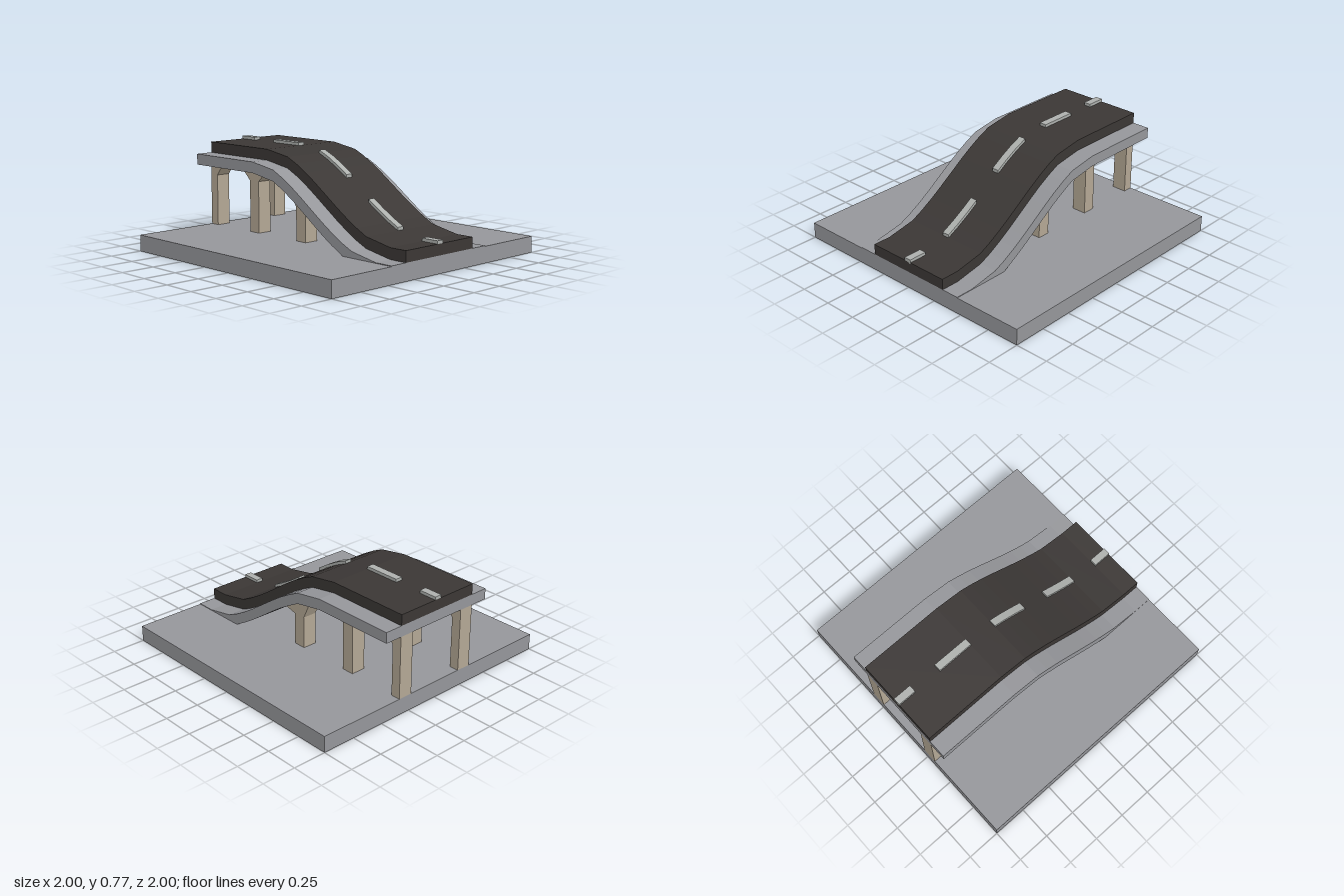
import * as THREE from 'three';

const material = (color) => new THREE.MeshStandardMaterial({ color, flatShading: true });

// Road surface line, from the high end to the ground-level end
const line = [
  [-1, 0.745], [-0.36, 0.745], [-0.14, 0.71], [-0.05, 0.67], [0.05, 0.615], [0.14, 0.558],
  [0.25, 0.483], [0.36, 0.408], [0.45, 0.35], [0.55, 0.292], [0.64, 0.247], [0.86, 0.205], [1, 0.205],
];

// Height of the line at x, lowered by d (a little more on the slope)
function heightAt(x, d = 0) {
  const lowered = line.map(([px, py], i) => {
    const a = line[Math.max(i - 1, 0)], b = line[Math.min(i + 1, line.length - 1)];
    const slope = (b[1] - a[1]) / (b[0] - a[0]);
    return [px, py - d * (1 + Math.hypot(1, slope)) / 2];
  });
  const i = Math.max(1, lowered.findIndex((p) => p[0] >= x));
  const [p, q] = [lowered[i - 1], lowered[i]];
  return p[1] + (q[1] - p[1]) * (x - p[0]) / (q[0] - p[0]);
}

// Side profile extruded across z
function extrude(name, points, width, z, mat) {
  const shape = new THREE.Shape(points.map(([x, y]) => new THREE.Vector2(x, y)));
  const geometry = new THREE.ExtrudeGeometry(shape, { depth: width, bevelEnabled: false });
  geometry.translate(0, 0, z - width / 2);
  const mesh = new THREE.Mesh(geometry, mat);
  mesh.name = name;
  return mesh;
}

// Band following the line between x0 and x1, from depth dTop to depth dBottom
function band(name, x0, x1, dTop, dBottom, width, mat) {
  const xs = [x0, ...line.map((p) => p[0]).filter((x) => x > x0 && x < x1), x1];
  const top = xs.map((x) => [x, heightAt(x, dTop)]);
  const bottom = xs.map((x) => [x, heightAt(x, dBottom)]);
  return extrude(name, [...bottom, ...top.reverse()], width, 0, mat);
}

export function createModel() {
  const model = new THREE.Group();
  model.name = 'roadRamp';
  const concrete = material(0x95969a);
  const asphalt = material(0x3b3735);
  const paint = material(0xadb0ad);
  const stone = material(0xb3a794);

  // Ground slab
  const base = new THREE.Mesh(new THREE.BoxGeometry(2, 0.12, 2), concrete);
  base.name = 'base';
  base.position.y = 0.06;
  model.add(base);

  // Deck and road surface
  model.add(band('deck', -1, 1, 0.08, 0.16, 0.94, concrete));
  model.add(band('road', -1, 1, 0, 0.08, 0.67, asphalt));

  // Raised centre line dashes
  for (const [x0, x1] of [[-1, -0.86], [-0.64, -0.36], [-0.14, 0.14], [0.36, 0.64], [0.86, 1]]) {
    model.add(band('laneDash', x0, x1, -0.022, 0.01, 0.055, paint));
  }

  // Pairs of piers with flared heads; the first is cut at the model edge
  const piers = [
    { x: -1, neck: 0.5, cut: true },
    { x: -0.5, neck: 0.5 },
    { x: 0, neck: 0.36 },
  ];
  const half = 0.048, flare = 0.14;
  for (const { x, neck, cut } of piers) {
    const at = (px) => [px, heightAt(px, 0.16)];
    const right = [[x + (cut ? 0.073 : half), 0.11], [x + (cut ? 0.073 : half), neck], at(x + flare)];
    const left = cut
      ? [at(-1), [-1, 0.11]]
      : [...line.map((p) => p[0]).filter((v) => Math.abs(v - x) < flare - 0.001).reverse().map(at),
        at(x - flare), [x - half, neck], [x - half, 0.11]];
    for (const side of [1, -1]) {
      model.add(extrude('pier', [...right, ...left], 0.11, side * 0.283, stone));
    }
  }
  return model;
}
